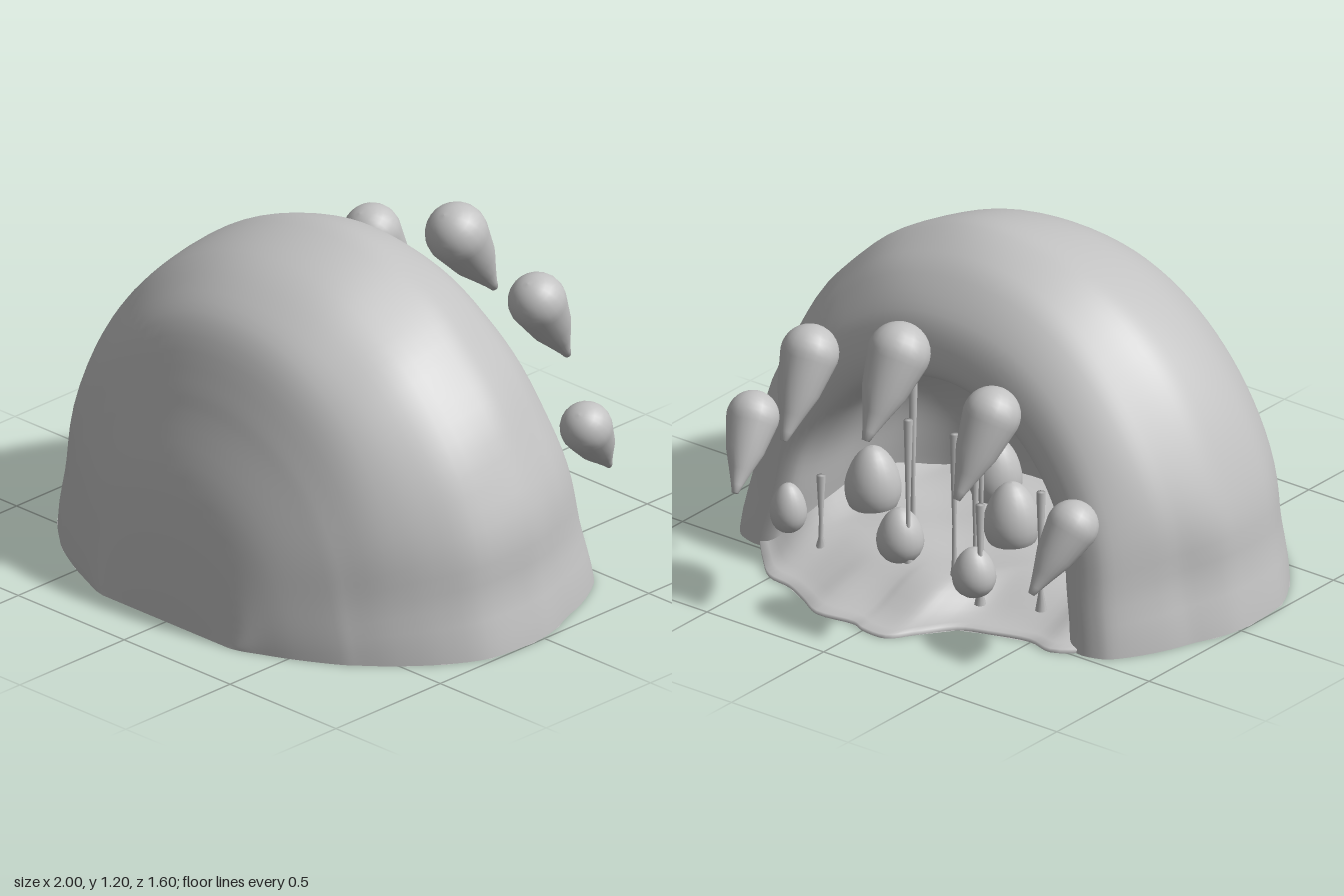
import * as THREE from 'three';

const stone = new THREE.MeshStandardMaterial({ color: 0xc2c2c2, side: THREE.DoubleSide });
stone.name = 'grey stone';

function add(parent, name, geometry) {
  const mesh = new THREE.Mesh(geometry, stone);
  mesh.name = name;
  parent.add(mesh);
  return mesh;
}

// Smooth sheet of (nu+1) x (nv+1) points given by f(i, j) -> [x, y, z]
function sheet(nu, nv, f) {
  const pos = [], index = [];
  for (let i = 0; i <= nu; i++) for (let j = 0; j <= nv; j++) pos.push(...f(i, j));
  for (let i = 0; i < nu; i++) for (let j = 0; j < nv; j++) {
    const a = i * (nv + 1) + j, b = a + nv + 1;
    index.push(a, b, a + 1, b, b + 1, a + 1);
  }
  const g = new THREE.BufferGeometry();
  g.setAttribute('position', new THREE.Float32BufferAttribute(pos, 3));
  g.setIndex(index);
  g.computeVertexNormals();
  return g;
}

const lathe = (pts, n) => new THREE.LatheGeometry(pts.map(p => new THREE.Vector2(...p)), n);

// Arch sections [half width, height, z]: over the dome, round the lip, into the hollow
const SECTIONS = [
  [0.30, 0, 0.80], [0.34, 0.10, 0.79], [0.41, 0.30, 0.76], [0.52, 0.50, 0.71], [0.66, 0.70, 0.63],
  [0.71, 0.80, 0.59], [0.81, 0.98, 0.50], [0.91, 1.08, 0.38], [0.985, 1.15, 0.24], [1.0, 1.195, 0.05],
  [0.99, 1.195, -0.04], [0.94, 1.15, -0.17], [0.90, 1.10, -0.245], [0.82, 1.0, -0.335], [0.76, 0.92, -0.37],
  [0.69, 0.83, -0.383], [0.63, 0.775, -0.36], [0.60, 0.75, -0.29], [0.61, 0.74, -0.1], [0.58, 0.68, 0.1],
  [0.47, 0.52, 0.25], [0.25, 0.3, 0.33], [0, 0.02, 0.35],
];

function domeGeometry() {
  const rows = new THREE.CatmullRomCurve3(SECTIONS.map(s => new THREE.Vector3(...s))).getPoints(88);
  return sheet(88, 56, (i, j) => {
    const { x: w, y: h, z } = rows[i];
    const t = Math.PI * j / 56, s = Math.sin(t);
    let x = w * Math.cos(t), y = Math.max(0, h) * s;
    // foot flares out slightly, surface is gently lumpy
    x *= 1 - 0.03 * Math.exp(-(((y - 0.2) / 0.14) ** 2));
    const lump = 0.003 * Math.min(1, y * 3) * (Math.sin(9 * x + 7 * z) + Math.sin(13 * y - 11 * x + 8 * z));
    x *= 1 + lump;
    y *= 1 + lump * 0.5;
    // legs of the arch reach further back than its crown
    const lip = THREE.MathUtils.clamp((-z - 0.18) / 0.18, 0, 1);
    return [x, y, z - lip * 0.1 * (1 - s) ** 1.3];
  });
}

// Ragged rim of the floor [x, z]
const RIM = [
  [-0.72, -0.44], [-0.6, -0.53], [-0.5, -0.51], [-0.35, -0.55], [-0.25, -0.59], [-0.16, -0.71], [-0.1, -0.79],
  [0, -0.79], [0.05, -0.77], [0.2, -0.785], [0.3, -0.73], [0.4, -0.68], [0.5, -0.66], [0.6, -0.57], [0.72, -0.44],
];

function floorGeometry() {
  const rim = new THREE.CatmullRomCurve3(RIM.map(([x, z]) => new THREE.Vector3(x, 0, z))).getPoints(56);
  return sheet(25, 56, (i, j) => {
    const e = rim[j];
    if (i === 0) return [e.x, 0, e.z];
    const v = (i - 1) / 24;
    const z = THREE.MathUtils.lerp(e.z, 0.36, v);
    const x = e.x * (1 - 0.3 * v * v);
    // rises inwards and sweeps up into the legs
    const rise = THREE.MathUtils.smoothstep(z - e.z, 0, 0.35);
    const sweep = 0.05 * THREE.MathUtils.smoothstep(Math.abs(x), 0.45, 0.68) * rise;
    const ripple = 0.01 * Math.min(1, v * 8) * Math.sin(11 * x + 2) * Math.cos(13 * z);
    return [x, 0.015 + 0.085 * rise + sweep + ripple, z];
  });
}

// Flat underside following the foot of the dome and the floor rim
function baseGeometry() {
  const side = [[0.78, -0.4], [0.86, -0.3], [0.97, -0.1], [1, 0.05], [0.985, 0.24], [0.91, 0.38],
    [0.81, 0.5], [0.66, 0.63], [0.52, 0.71], [0.3, 0.8]];
  const outline = [...RIM, ...side, ...side.map(([x, z]) => [-x, z]).reverse()];
  const g = new THREE.ShapeGeometry(new THREE.Shape(outline.map(p => new THREE.Vector2(...p))));
  return g.rotateX(Math.PI / 2);
}

// Hanging drop: round bulb at the origin, tapering along +y to a blunt tip
function dropGeometry(length, r) {
  const pts = [];
  for (let k = 0; k <= 9; k++) {
    const a = -Math.PI / 2 + k / 9 * (Math.PI / 2 + 0.3);
    pts.push([r * Math.cos(a), r * Math.sin(a)]);
  }
  pts.push([r * 0.73, length * 0.45], [r * 0.44, length * 0.7], [r * 0.22, length * 0.9], [r * 0.13, length], [0, length]);
  return lathe(pts, 20);
}

// Egg with a broad bottom and a narrower top
function eggGeometry(r, h) {
  const pts = [];
  for (let k = 0; k <= 14; k++) {
    const a = Math.PI * k / 14;
    pts.push([r * Math.sin(a) * (1 + 0.2 * Math.cos(a)), h * (1 - Math.cos(a)) / 2]);
  }
  return lathe(pts, 20);
}

export function createModel() {
  const model = new THREE.Group();
  model.name = 'caveNest';
  add(model, 'domeShell', domeGeometry());
  add(model, 'caveFloor', floorGeometry());
  add(model, 'underside', baseGeometry());

  // Arc of drops behind the opening: bulb centre, tip, radius
  const drops = new THREE.Group();
  drops.name = 'drops';
  model.add(drops);
  const drop = (bulb, tip, r) => {
    const from = new THREE.Vector3(...bulb), dir = new THREE.Vector3(...tip).sub(from);
    const mesh = add(drops, 'drop', dropGeometry(dir.length(), r));
    mesh.position.copy(from);
    mesh.quaternion.setFromUnitVectors(new THREE.Vector3(0, 1, 0), dir.normalize());
  };
  drop([-0.01, 0.97, -0.605], [-0.01, 0.71, -0.785], 0.108);
  for (const s of [-1, 1]) {
    const shift = -0.01;
    drop([s * 0.39 + shift, 0.85, -0.595], [s * 0.37 + shift, 0.59, -0.76], 0.1);
    drop([s * 0.685 + shift, 0.5, -0.53], [s * 0.635 + shift, 0.29, -0.69], 0.09);
  }

  // Eggs: x, y, z, radius, height
  const eggs = new THREE.Group();
  eggs.name = 'eggs';
  model.add(eggs);
  for (const [x, y, z, r, h] of [
    [-0.23, 0.08, -0.475, 0.074, 0.18], [0.13, 0.08, -0.42, 0.08, 0.2], [0.57, 0.08, -0.47, 0.062, 0.18],
    [-0.08, 0.05, -0.08, 0.095, 0.26], [0.46, 0.05, -0.15, 0.095, 0.26], [0.18, 0.05, 0.16, 0.09, 0.26],
  ]) add(eggs, 'egg', eggGeometry(r, h)).position.set(x, y, z);

  // Slender stalks with wider heads: x, z, top
  const stalks = new THREE.Group();
  stalks.name = 'stalks';
  model.add(stalks);
  for (const [x, z, top] of [
    [-0.45, -0.39, 0.5], [-0.11, -0.43, 0.63], [0.43, -0.47, 0.33], [-0.2, -0.43, 0.62],
    [-0.26, -0.48, 0.43], [0.08, -0.44, 0.63], [0.17, -0.3, 0.7], [-0.115, -0.29, 0.7],
  ]) {
    const h = top - 0.06;
    const profile = [[0.02, 0], [0.009, h * 0.15], [0.007, h * 0.4], [0.016, h], [0, h]];
    add(stalks, 'stalk', lathe(profile, 8)).position.set(x, 0.06, z);
  }
  return model;
}
